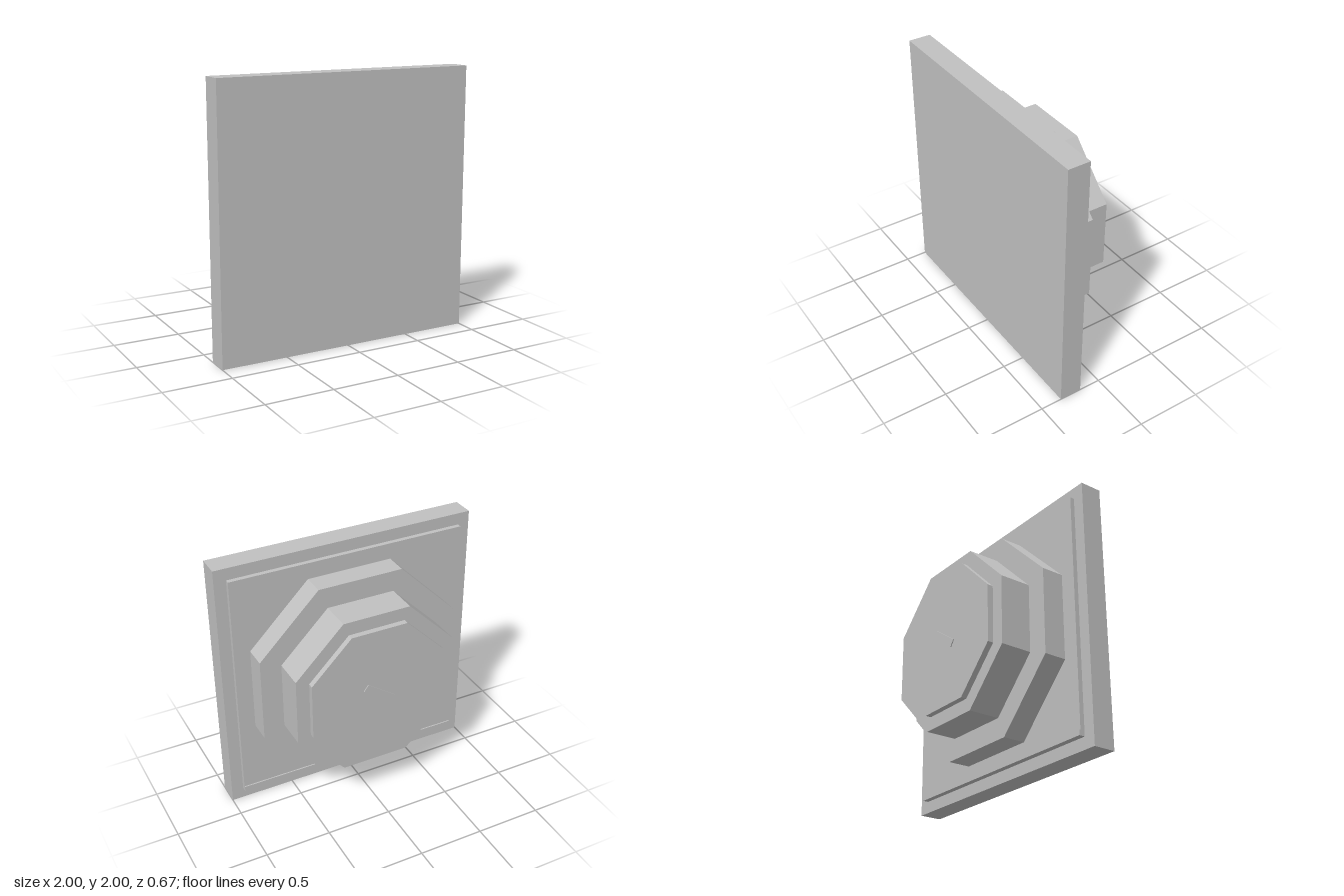
import * as THREE from 'three';

export function createModel() {
  const group = new THREE.Group();
  const grey = new THREE.MeshStandardMaterial({ color: 0xc0c0c0 });
  grey.name = 'plain grey';

  function add(name, geometry, x, y, z) {
    const mesh = new THREE.Mesh(geometry, grey);
    mesh.name = name;
    mesh.position.set(x, y, z);
    group.add(mesh);
    return mesh;
  }

  // Box centred on x, spanning zBack to zFront
  const slab = (name, w, h, y, zBack, zFront) =>
    add(name, new THREE.BoxGeometry(w, h, zFront - zBack), 0, y, (zBack + zFront) / 2);

  // Octagonal tier with flats facing up, down and sideways
  function tier(name, apothem, zBack, zFront) {
    const r = apothem / Math.cos(Math.PI / 8);
    const shape = new THREE.Shape();
    for (let i = 0; i < 8; i++) {
      const a = (i + 0.5) * Math.PI / 4;
      shape[i ? 'lineTo' : 'moveTo'](r * Math.cos(a), r * Math.sin(a));
    }
    shape.closePath();
    const geometry = new THREE.ExtrudeGeometry(shape, { depth: zFront - zBack, bevelEnabled: false });
    add(name, geometry, 0, 1, zBack);
  }

  // Square plate with a thin raised panel and a ledge along its lower edge
  slab('facePlate', 2, 2, 1, 0.165, 0.335);
  slab('backPanel', 1.82, 1.82, 1, 0.13, 0.165);
  slab('lowerLedge', 1.82, 0.04, 0.11, 0.12, 0.165);

  // Stepped octagonal boss
  tier('wideTier', 0.787, -0.042, 0.13);
  tier('middleTier', 0.627, -0.284, -0.042);
  tier('capTier', 0.527, -0.328, -0.284);

  // Slanted bar at the centre of the cap
  slab('centreBar', 0.264, 0.06, 1, -0.335, -0.328).rotation.z = THREE.MathUtils.degToRad(35);

  return group;
}
